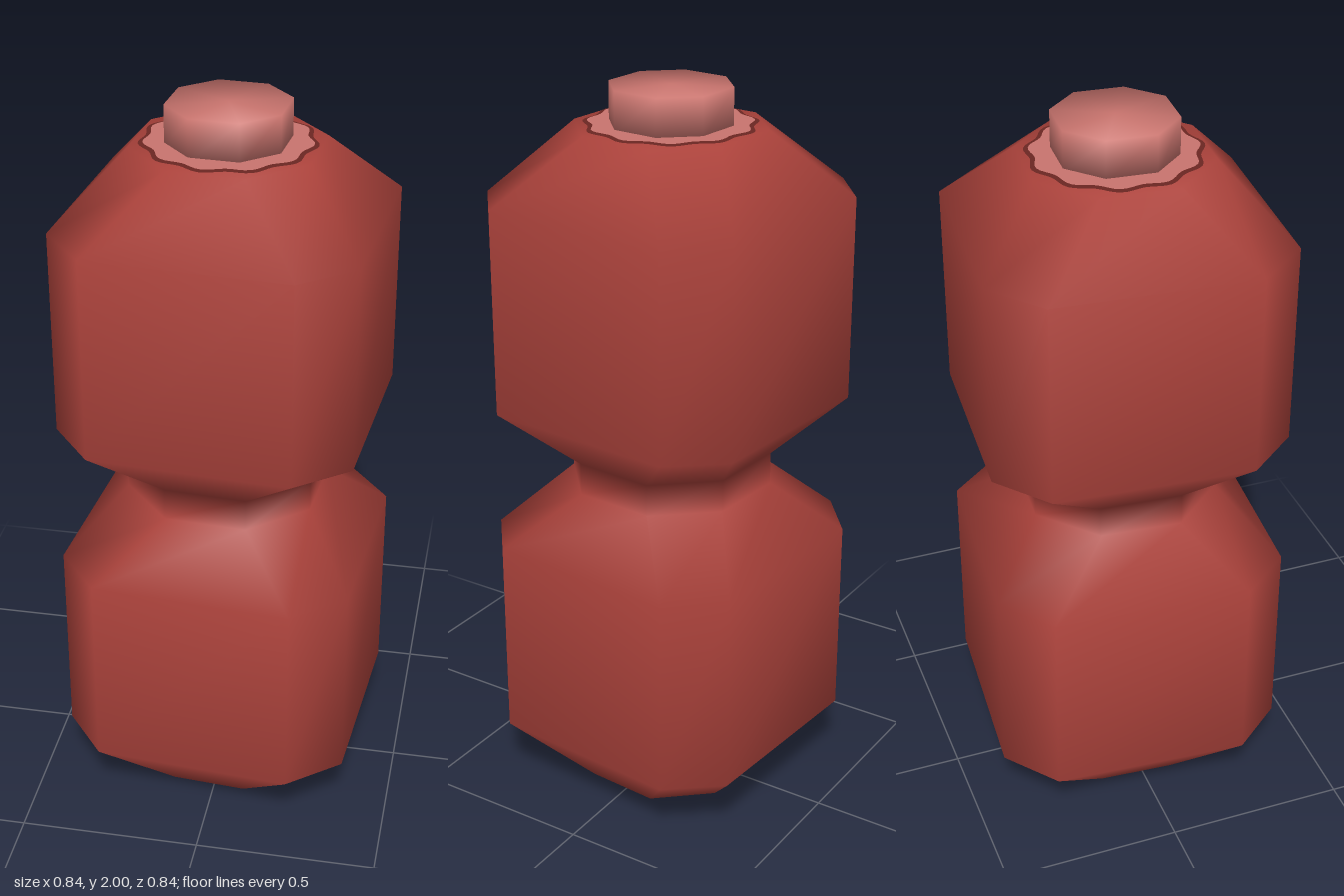
import * as THREE from 'three';

const red = new THREE.MeshStandardMaterial({ color: 0xab423b });
red.name = 'casing red';
const pink = new THREE.MeshStandardMaterial({ color: 0xc9746e });
pink.name = 'filling pink';
const dark = new THREE.MeshStandardMaterial({ color: 0x6b2622 });
dark.name = 'rim dark red';

// Four-fold octagon: two corners [x, z] turned by quarter turns
function octagon(corners) {
  const pts = [];
  for (let k = 0; k < 4; k++) {
    for (let [x, z] of corners) {
      for (let n = 0; n < k; n++) [x, z] = [-z, x];
      pts.push([x, z]);
    }
  }
  return pts;
}
const wide = octagon([[-0.235, -0.42], [0.305, -0.378]]);
const round = octagon([[-0.055, -0.155], [0.076, -0.145]]);

// Smooth closed loft through rings [section, scale, y]; group 1 is the bottom cap
function loft(rings) {
  const pos = [], idx = [], bottom = [], n = 8;
  for (const [section, s, y] of rings) {
    for (const [x, z] of section) pos.push(x * s, y, z * s);
  }
  const low = rings.length * n, high = low + 1;
  pos.push(0, rings[0][2], 0, 0, rings[rings.length - 1][2], 0);
  for (let j = 0; j < n; j++) {
    const k = (j + 1) % n;
    for (let i = 0; i < rings.length - 1; i++) {
      const a = i * n + j, b = i * n + k;
      idx.push(b, a, a + n, b, a + n, b + n);
    }
    const top = (rings.length - 1) * n;
    idx.push(high, top + k, top + j);
    bottom.push(low, j, k);
  }
  const g = new THREE.BufferGeometry();
  g.setAttribute('position', new THREE.Float32BufferAttribute(pos, 3));
  g.setIndex([...idx, ...bottom]);
  g.addGroup(0, idx.length, 0);
  g.addGroup(idx.length, bottom.length, 1);
  g.computeVertexNormals();
  return g;
}

// Thin wavy plate lying flat
function wavyPlate(radius, wave, y, material, name) {
  const shape = new THREE.Shape();
  for (let i = 0; i < 88; i++) {
    const a = (i / 88) * Math.PI * 2;
    const r = radius + wave * Math.cos(11 * a);
    const x = r * Math.cos(a), z = r * Math.sin(a);
    if (i) shape.lineTo(x, z); else shape.moveTo(x, z);
  }
  const mesh = new THREE.Mesh(new THREE.ShapeGeometry(shape), material);
  mesh.rotation.x = -Math.PI / 2;
  mesh.position.y = y;
  mesh.name = name;
  return mesh;
}

export function createModel() {
  const group = new THREE.Group();
  group.name = 'linkedSausage';

  // Two bulging links joined by a narrow neck, with a pink cut underneath
  const body = new THREE.Mesh(loft([
    [round, 1.56, 0], [wide, 1, 0.19], [wide, 1, 0.75],
    [round, 1.7, 0.91], [round, 1.7, 1.0],
    [wide, 1, 1.15], [wide, 1, 1.71], [round, 1.56, 1.895],
  ]), [red, pink]);
  body.name = 'sausageLinks';
  group.add(body);

  // Cut end of the casing and the stub rising from it
  group.add(wavyPlate(0.222, 0.008, 1.898, dark, 'casingRim'));
  group.add(wavyPlate(0.21, 0.008, 1.901, pink, 'cutEnd'));
  const stub = new THREE.Mesh(loft([[round, 1, 1.89], [round, 1, 2]]), [pink, pink]);
  stub.name = 'topStub';
  group.add(stub);

  return group;
}
